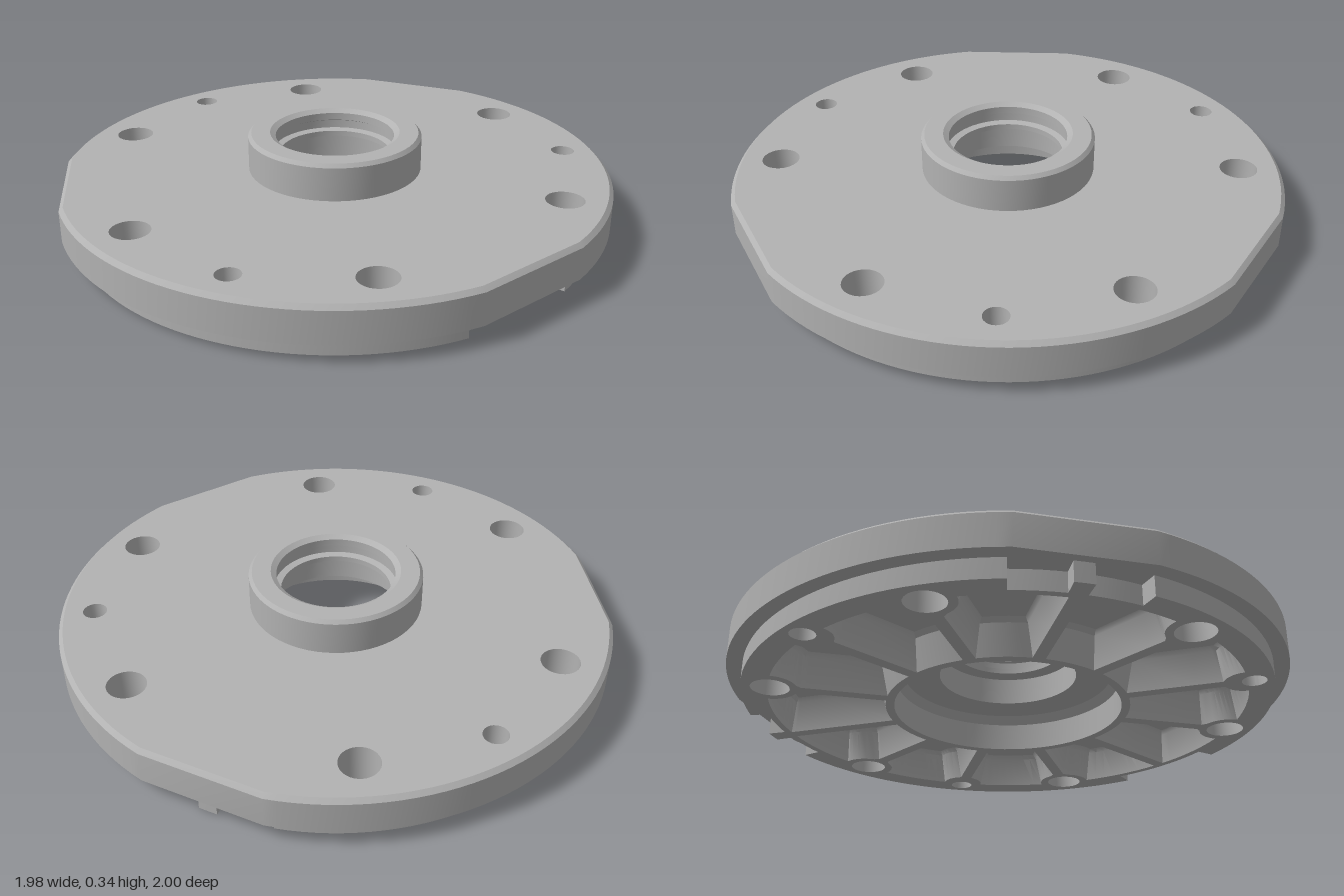
import * as THREE from 'three';
import { mergeGeometries, toCreasedNormals } from 'three/addons/utils/BufferGeometryUtils.js';

const RAD = Math.PI / 180;
const TOP = 0.2, STEP = 0.07, FLOOR = 0.125;
const polar = (r, a) => new THREE.Vector2(r * Math.cos(a), r * Math.sin(a));

// Arc of points in the x-z plane, angles in radians
function arc(r, a0, a1, n) {
  return Array.from({ length: n + 1 }, (_, i) => polar(r, a0 + (a1 - a0) * i / n));
}
function circle(r, n, cx = 0, cz = 0) {
  return arc(r, 0, 2 * Math.PI * (n - 1) / n, n - 1).map(p => p.add(new THREE.Vector2(cx, cz)));
}

// Disc outline with three flats, at 60, 180 and 300 degrees
function flatOutline(r, flat) {
  const half = Math.acos(flat / r);
  return [60, 180, 300].flatMap(d => arc(r, d * RAD + half, (d + 120) * RAD - half, 36));
}

// Stepped rim outline, notched below each flat; two notches have a small lug
function notchedOutline() {
  const R = 0.945, r = 0.88, pts = [];
  for (const d of [60, 180, 300]) {
    if (d === 60) pts.push(...arc(r, 46.5 * RAD, 73.5 * RAD, 10));
    else {
      pts.push(...arc(r, (d - 13.5) * RAD, (d - 2) * RAD, 5));
      pts.push(...arc(R, (d - 2) * RAD, (d + 2) * RAD, 2));
      pts.push(...arc(r, (d + 2) * RAD, (d + 13.5) * RAD, 5));
    }
    pts.push(...arc(R, (d + 13.5) * RAD, (d + 106.5) * RAD, 36));
  }
  return pts;
}

// Pocket outline between two ribs; the ribs swell round the bolt bosses
function pocketOutline(a0, b0, a1, b1, inset) {
  const rIn = 0.44 + inset * 1.3, rOut = 0.855 - inset;
  const side = (a, boss, sign) => {
    const w = 0.022 + inset, b = boss ? boss + inset : 0;
    const sMax = Math.sqrt(rOut ** 2 - Math.max(w, b) ** 2);
    const pts = [];
    for (let i = 0; i <= 12; i++) {
      const s = i === 0 ? rIn : 0.68 + (sMax - 0.68) * (i - 1) / 11;
      const h = Math.max(w, Math.sqrt(Math.max(0, b * b - (s - 0.85) ** 2)));
      pts.push(new THREE.Vector2(s, sign * h).rotateAround(new THREE.Vector2(), a));
    }
    return pts;
  };
  const up = side(a0, b0, 1), down = side(a1, b1, -1).reverse();
  const between = (p, q) => {
    const s = p.angle(), e = s + Math.atan2(p.cross(q), p.dot(q));
    return arc(p.length(), s, e, 8).slice(1, -1);
  };
  return [...up, ...between(up.at(-1), down[0]), ...down, ...between(down.at(-1), up[0])];
}

// Wall joining two loops of equal length; inward turns it to face the inside
function wall(low, yLow, high, yHigh, inward = false) {
  const pos = [];
  low.forEach((_, i) => {
    const j = (i + 1) % low.length;
    const A = [low[i].x, yLow, low[i].y], B = [low[j].x, yLow, low[j].y];
    const C = [high[i].x, yHigh, high[i].y], D = [high[j].x, yHigh, high[j].y];
    if (inward) pos.push(...A, ...B, ...C, ...B, ...D, ...C);
    else pos.push(...A, ...C, ...B, ...B, ...C, ...D);
  });
  const g = new THREE.BufferGeometry();
  g.setAttribute('position', new THREE.Float32BufferAttribute(pos, 3));
  return g;
}

// Flat face with holes, facing up or down
function face(outline, holes, y, up = false) {
  const flip = p => new THREE.Vector2(p.x, up ? -p.y : p.y);
  const shape = new THREE.Shape(outline.map(flip));
  shape.holes = holes.map(h => new THREE.Path(h.map(flip)));
  const g = new THREE.ShapeGeometry(shape).rotateX(up ? -Math.PI / 2 : Math.PI / 2).translate(0, y, 0);
  const flat = g.toNonIndexed();
  flat.deleteAttribute('uv');
  flat.deleteAttribute('normal');
  return flat;
}

export function createModel() {
  const group = new THREE.Group();
  const metal = new THREE.MeshStandardMaterial({ color: 0xb2b2b2, side: THREE.DoubleSide });
  metal.name = 'grey metal';
  const add = (name, ...geos) => {
    const mesh = new THREE.Mesh(toCreasedNormals(mergeGeometries(geos), 0.5), metal);
    mesh.name = name;
    group.add(mesh);
  };

  // Six bolt holes and three small dowel holes
  const bolts = [30, 90, 150, 210, 270, 330].map(d => polar(0.845, d * RAD))
    .map(p => circle(0.068, 32, p.x, p.y));
  const dowels = [0, 120, 240].map(d => polar(0.876, d * RAD))
    .map(p => circle(0.043, 24, p.x, p.y));
  const holes = [...bolts, ...dowels];

  // Upper plate with chamfered edge
  const edge = flatOutline(1, 0.976), chamfer = flatOutline(0.985, 0.961);
  const rim = notchedOutline();
  add('plate',
    face(chamfer, [...holes, circle(0.315, 64)], TOP, true),
    wall(edge, TOP - 0.015, chamfer, TOP),
    wall(edge, STEP, edge, TOP - 0.015),
    face(edge, [rim], STEP));
  add('boltHoles', ...holes.map(h => wall(h, 0, h, TOP, true)));

  // Twelve sloping pockets between radial ribs
  const boss = k => (k % 2 ? 0.1 : k % 4 === 0 ? 0.078 : 0);
  const mouths = [], pocketParts = [];
  for (let k = 0; k < 12; k++) {
    const loops = [0, 0.022, 0.034].map(inset =>
      pocketOutline(k * 30 * RAD, boss(k), (k + 1) * 30 * RAD, boss(k + 1), inset));
    mouths.push(loops[0]);
    pocketParts.push(wall(loops[0], 0, loops[1], FLOOR - 0.015, true),
      wall(loops[1], FLOOR - 0.015, loops[2], FLOOR, true), face(loops[2], [], FLOOR));
  }
  add('pockets', ...pocketParts);

  // Stepped lower rim and ribbed underside
  add('lowerRim', wall(rim, 0, rim, STEP),
    face(rim, [...holes, ...mouths, circle(0.41, 64)], 0));

  // Hub: outer collar, grooved bore and the wide recess below
  const profile = [
    [0.41, 0], [0.405, 0.1], [0.38, 0.13], [0.25, 0.13], [0.25, 0.23], [0.2, 0.235],
    [0.2, 0.255], [0.225, 0.26], [0.225, 0.29], [0.215, 0.295], [0.215, 0.322],
    [0.235, 0.335], [0.303, 0.335], [0.315, 0.322], [0.315, TOP]
  ].reverse().map(([r, y]) => new THREE.Vector2(r, y));
  const hub = new THREE.LatheGeometry(profile.reverse(), 64).toNonIndexed();
  // Turn the faces so that they look out of the solid
  const p = hub.attributes.position, v = new THREE.Vector3(), w = new THREE.Vector3();
  const a = v.fromBufferAttribute(p, 0).clone(), b = v.fromBufferAttribute(p, 1).clone();
  const n = b.sub(a).cross(w.fromBufferAttribute(p, 2).sub(a));
  if (n.dot(new THREE.Vector3(a.x, 0, a.z)) > 0) {
    for (let i = 0; i < p.count; i += 3) {
      v.fromBufferAttribute(p, i + 1);
      w.fromBufferAttribute(p, i + 2);
      p.setXYZ(i + 1, w.x, w.y, w.z);
      p.setXYZ(i + 2, v.x, v.y, v.z);
    }
  }
  hub.deleteAttribute('uv');
  hub.deleteAttribute('normal');
  add('hub', hub);

  group.position.x = -0.012;
  const model = new THREE.Group();
  model.name = 'flangeCover';
  model.add(group);
  return model;
}
